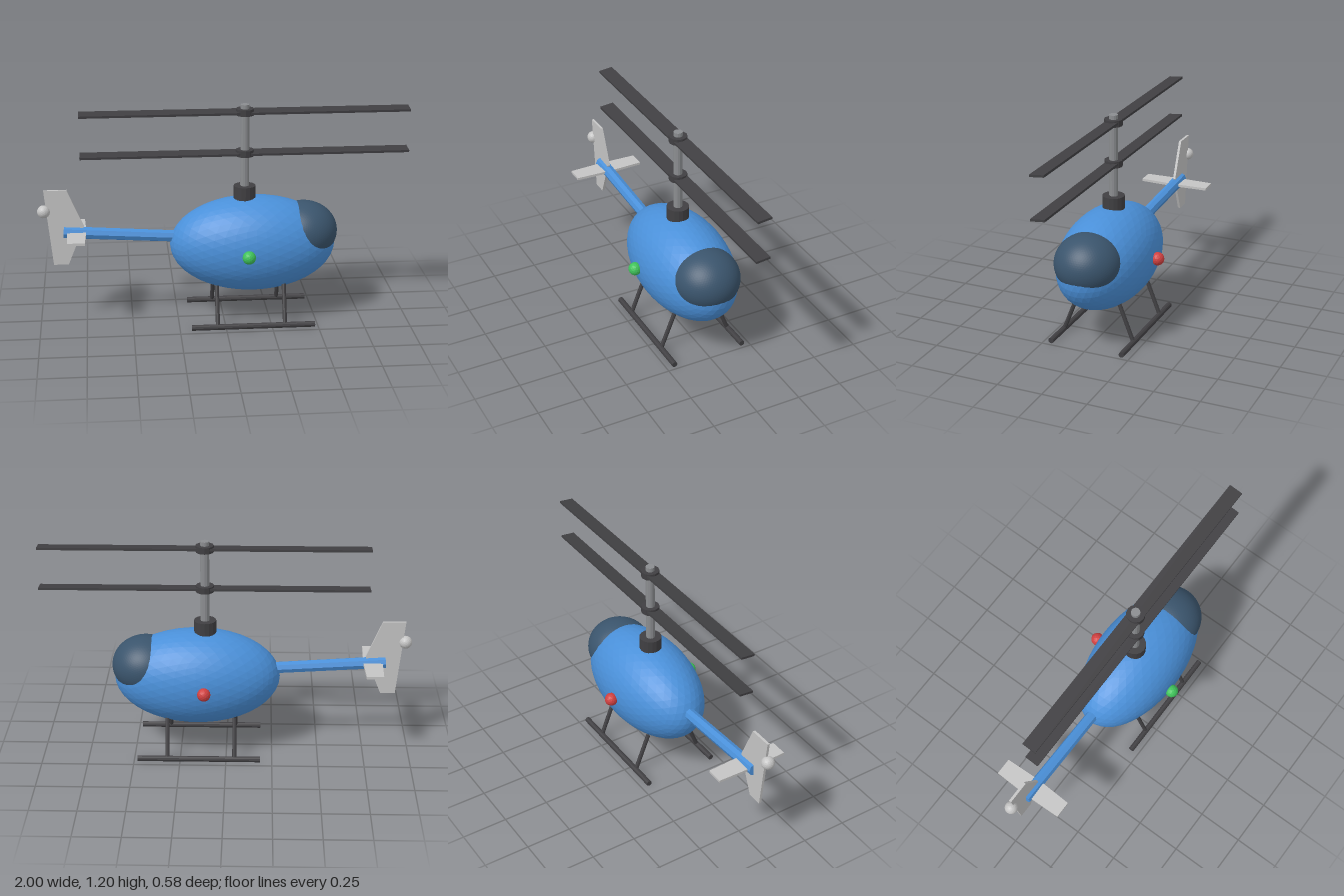
import * as THREE from 'three';

const material = (name, color) => {
  const m = new THREE.MeshStandardMaterial({ color });
  m.name = name;
  return m;
};

export function createModel() {
  const model = new THREE.Group();
  model.name = 'helicopter';

  const blue = material('body blue', 0x4a90d9);
  const glass = material('canopy slate', 0x3a546c);
  const dark = material('dark grey', 0x403f42);
  const metal = material('mast grey', 0x8b8d90);
  const pale = material('fin grey', 0xc4c4c4);
  const green = material('green light', 0x3fc25a);
  const red = material('red light', 0xd04040);

  // Faceted mesh helper
  const add = (name, geometry, mat, x = 0, y = 0, z = 0) => {
    const flat = geometry.index ? geometry.toNonIndexed() : geometry;
    flat.computeVertexNormals();
    const mesh = new THREE.Mesh(flat, mat);
    mesh.name = name;
    mesh.position.set(x, y, z);
    model.add(mesh);
    return mesh;
  };

  const ellipsoid = (rx, ry, rz, detail) =>
    new THREE.IcosahedronGeometry(1, detail).scale(rx, ry, rz);

  // Straight rod between two points
  const rod = (name, mat, from, to, rFrom, rTo, sides) => {
    const a = new THREE.Vector3(...from), b = new THREE.Vector3(...to);
    const dir = b.clone().sub(a);
    const mesh = add(name, new THREE.CylinderGeometry(rTo, rFrom, dir.length(), sides), mat);
    mesh.position.copy(a).add(b).multiplyScalar(0.5);
    mesh.quaternion.setFromUnitVectors(new THREE.Vector3(0, 1, 0), dir.normalize());
    return mesh;
  };

  // Thin plate cut from an outline, centred on its thickness
  const plate = (points, depth) => {
    const shape = new THREE.Shape(points.map(([x, y]) => new THREE.Vector2(x, y)));
    return new THREE.ExtrudeGeometry(shape, { depth, bevelEnabled: false }).translate(0, 0, -depth / 2);
  };

  // Cabin and windscreen
  add('cabin', ellipsoid(0.45, 0.2635, 0.243, 7), blue, 0.16, 0.4265, 0);
  add('canopy', ellipsoid(0.182, 0.16, 0.179, 15), glass, 0.44, 0.49, 0);

  // Mast and rotors
  const mastX = 0.116;
  add('mastBase', new THREE.CylinderGeometry(0.06, 0.06, 0.11, 16), dark, mastX, 0.697, 0);
  add('mast', new THREE.CylinderGeometry(0.024, 0.024, 0.52, 12), metal, mastX, 0.94, 0);
  for (const [level, y] of [['lower', 0.935], ['upper', 1.16]]) {
    add(level + 'Hub', new THREE.CylinderGeometry(0.049, 0.049, 0.035, 12), dark, mastX, y, 0);
    const blade = add(level + 'Blade', new THREE.BoxGeometry(1.765, 0.012, 0.078), dark, 0.1175, y, 0);
    blade.rotation.x = 0.1;
  }

  // Tail boom, fins and tail ball
  rod('tailBoom', blue, [-0.1, 0.463, 0], [-0.862, 0.513, 0], 0.032, 0.034, 8);
  add('tailFin', plate([
    [-0.92, 0.33], [-0.84, 0.33], [-0.753, 0.545], [-0.84, 0.75], [-0.963, 0.75],
  ], 0.014), pale);
  const tailplane = plate([
    [-0.84, -0.2], [-0.748, -0.2], [-0.74, 0], [-0.748, 0.2], [-0.84, 0.2], [-0.846, 0],
  ], 0.014);
  tailplane.rotateX(-Math.PI / 2);
  add('tailplane', tailplane, pale, 0, 0.51, 0);
  add('tailBall', ellipsoid(0.035, 0.035, 0.035, 3), pale, -0.965, 0.632, 0);

  // Side lights and landing gear
  for (const [side, s, light] of [['front', 1, green], ['back', -1, red]]) {
    add(side + 'Light', ellipsoid(0.036, 0.036, 0.036, 2), light, mastX, 0.428, s * 0.256);
    rod(side + 'Skid', dark, [-0.187, 0.016, s * 0.205], [0.482, 0.016, s * 0.205], 0.0155, 0.0155, 10);
    for (const x of [-0.046, 0.319]) {
      rod(side + 'Strut', dark, [x, 0.018, s * 0.203], [x, 0.225, s * 0.122], 0.0115, 0.0115, 8);
    }
  }

  return model;
}
